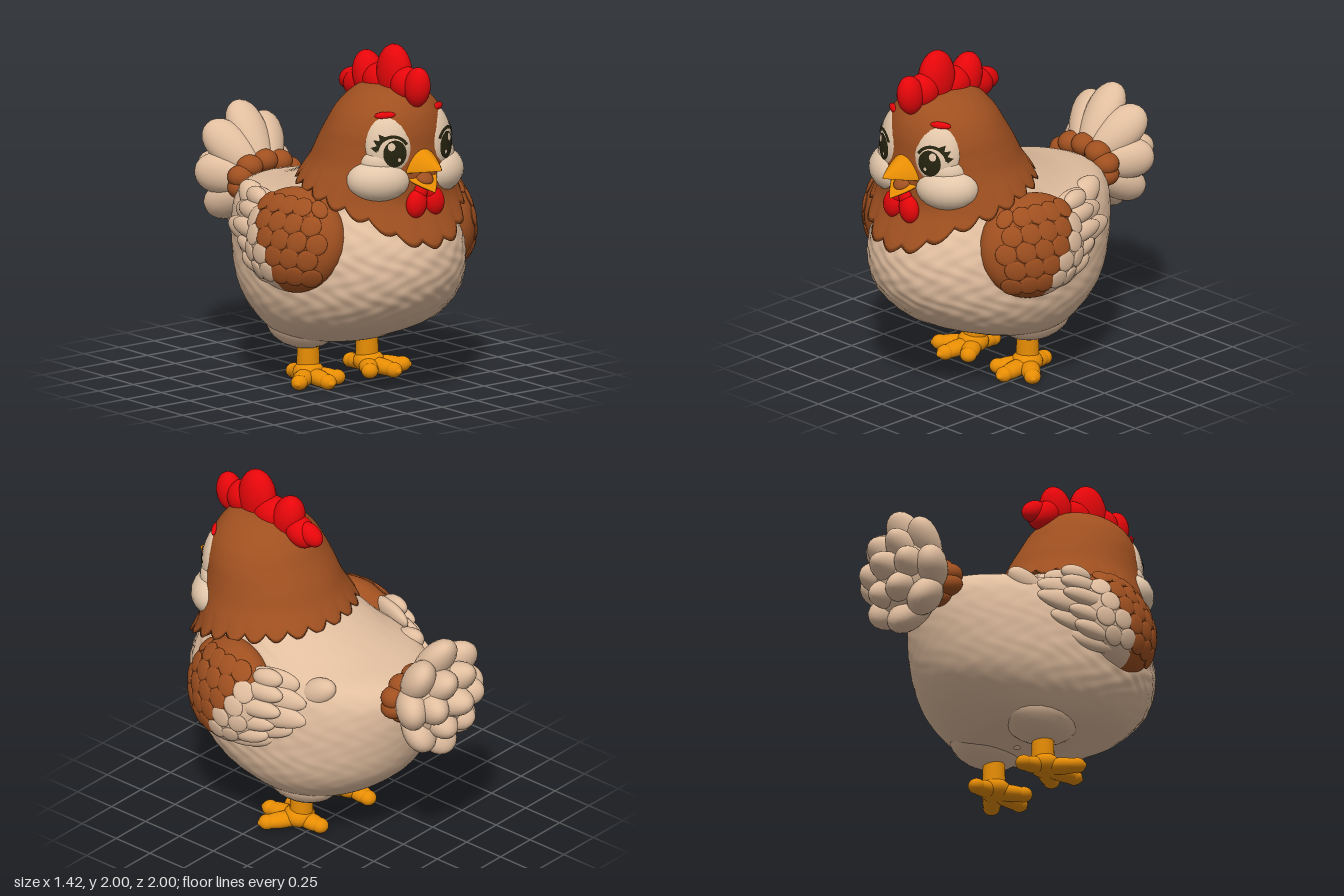
import * as THREE from 'three';

const mat = (name, color) => Object.assign(new THREE.MeshStandardMaterial({ color }), { name });
const cream = mat('cream feathers', 0xe1be9f);
const pale = mat('pale face', 0xe4c8ab);
const brown = mat('brown feathers', 0xa05020);
const red = mat('red comb', 0xe8060a);
const orange = mat('orange beak', 0xe98e04);
const dark = mat('dark eye', 0x262410);
brown.side = THREE.DoubleSide;

const V = (x, y, z) => new THREE.Vector3(x, y, z);
const ball = new THREE.SphereGeometry(1, 22, 14);
// ball swollen towards its +y end, for blunt feathers
const plume = ball.clone();
for (let p = plume.attributes.position, i = 0; i < p.count; i++) {
  const k = 1 + 0.3 * p.getY(i);
  p.setXYZ(i, p.getX(i) * k, p.getY(i), p.getZ(i) * k);
}

function add(parent, name, geo, material) {
  const m = new THREE.Mesh(geo, material);
  m.name = name;
  parent.add(m);
  return m;
}

function blob(parent, name, material, p, r, rot = [0, 0, 0]) {
  const m = add(parent, name, ball, material);
  m.position.set(...p);
  m.scale.set(...r);
  m.rotation.set(...rot);
}

// Flattened plume running from a to b, its thin axis towards n
function feather(parent, name, material, a, b, width, thick, n, geo = ball) {
  const y = b.clone().sub(a), len = y.length();
  y.normalize();
  const x = y.clone().cross(n).normalize(), z = x.clone().cross(y);
  const m = add(parent, name, geo, material);
  m.quaternion.setFromRotationMatrix(new THREE.Matrix4().makeBasis(x, y, z));
  m.position.copy(a).lerp(b, 0.5);
  m.scale.set(width, len / 2, thick);
}

// Smooth interpolation of a table whose first column is the key
function sample(table, k) {
  let i = 0;
  while (i < table.length - 2 && k > table[i + 1][0]) i++;
  const a = table[i], b = table[i + 1], p = table[Math.max(i - 1, 0)], q = table[Math.min(i + 2, table.length - 1)];
  const h = b[0] - a[0], t = Math.min(1, Math.max(0, (k - a[0]) / h));
  return a.slice(1).map((v, j) => {
    const c = j + 1, m0 = (b[c] - p[c]) / (b[0] - p[0]) * h, m1 = (q[c] - a[c]) / (q[0] - a[0]) * h;
    const t2 = t * t, t3 = t2 * t;
    return (2 * t3 - 3 * t2 + 1) * v + (t3 - 2 * t2 + t) * m0 + (3 * t2 - 2 * t3) * b[c] + (t3 - t2) * m1;
  });
}

// Closed rings joined into a skin: fn(row 0..1, angle) gives a point
function loft(rows, cols, fn) {
  const pos = [], idx = [];
  for (let i = 0; i <= rows; i++) for (let j = 0; j < cols; j++) {
    pos.push(...fn(i / rows, j / cols * Math.PI * 2));
    if (i === rows) continue;
    const k = (j + 1) % cols, a = i * cols;
    idx.push(a + j, a + k, a + cols + j, a + k, a + cols + k, a + cols + j);
  }
  const g = new THREE.BufferGeometry();
  g.setAttribute('position', new THREE.Float32BufferAttribute(pos, 3));
  g.setIndex(idx);
  g.computeVertexNormals();
  return g;
}

// height, front z, back z, half width
const BODY = [
  [0.245, 0.08, 0.04, 0.02], [0.26, 0.3, -0.16, 0.24], [0.3, 0.43, -0.27, 0.38], [0.4, 0.67, -0.41, 0.49],
  [0.5, 0.8, -0.5, 0.545], [0.6, 0.88, -0.55, 0.57], [0.7, 0.92, -0.58, 0.575], [0.8, 0.93, -0.6, 0.57],
  [0.9, 0.915, -0.61, 0.55], [1.0, 0.87, -0.6, 0.51], [1.08, 0.81, -0.52, 0.46], [1.13, 0.77, -0.3, 0.43],
  [1.2, 0.7, -0.1, 0.39], [1.3, 0.6, 0.12, 0.3]];
const HOOD = [
  [0.88, 0.94, -0.1, 0.52], [0.95, 0.925, -0.1, 0.52], [1.05, 0.88, -0.07, 0.505], [1.15, 0.84, -0.03, 0.48],
  [1.25, 0.84, 0.0, 0.44], [1.35, 0.84, 0.06, 0.395], [1.45, 0.835, 0.11, 0.365], [1.55, 0.83, 0.17, 0.335],
  [1.65, 0.8, 0.23, 0.28], [1.74, 0.73, 0.32, 0.18], [1.77, 0.65, 0.4, 0.1], [1.785, 0.53, 0.51, 0.01]];
// hem height against the cosine of the angle from the front
const HEM = [[-1, 1.23], [0, 1.17], [0.5, 1.1], [0.79, 1.02], [1, 0.895]];

function ring(table, y, a, grow) {
  const [f, b, w] = sample(table, y);
  return [(w + grow) * Math.sin(a), y, (f + b) / 2 + ((f - b) / 2 + grow) * Math.cos(a)];
}

function buildBody(g) {
  add(g, 'body', loft(90, 160, (t, a) => {
    const y = 0.245 + 1.055 * Math.pow(t, 1.15);
    const fade = Math.min(1, Math.max(0, (y - 0.3) / 0.2)) * (0.6 + 0.4 * Math.cos(a));
    return ring(BODY, y, a, 0.005 * fade * Math.cos(23 * a + Math.sin(y * 31)) * Math.cos(y * 60 + Math.sin(7 * a)));
  }), cream);
  const rows = 48;
  add(g, 'hood', loft(rows, 176, (t, a) => {
    const lobe = Math.abs(Math.cos(11 * a));
    const hem = sample(HEM, Math.cos(a))[0] + 0.04 * (1 - lobe);
    if (t === 0) return ring(HOOD, hem + 0.015, a, -0.06);
    const u = (t * rows - 1) / (rows - 1);
    const y = hem + (1.785 - hem) * (1 - Math.pow(1 - u, 1.5));
    return ring(HOOD, y, a, 0.01 * lobe * Math.max(0, 1 - u * 6));
  }), brown);
}

function buildFace(g) {
  // beak
  add(g, 'upperBeak', loft(18, 32, (t, a) => {
    const c = Math.cos(a), n = Math.sin(a), w = 0.13 * (1 - Math.pow(t, 1.5));
    const arch = c > 0 ? 0.115 * Math.pow(c, 1.4) : 0.02 * c;
    const y = 1.35 - 0.035 * n * n * (1 - t) + arch * (1 - Math.pow(t, 1.5));
    return [-w * n, y, 0.77 + 0.228 * t];
  }), orange);
  add(g, 'lowerBeak', loft(12, 24, (t, a) => {
    const n = Math.sin(a);
    return [-0.12 * (1 - t ** 1.6) * n, 1.3 - 0.085 * t + 0.02 * n * n * (1 - t) + 0.026 * (1 - t * t) * Math.cos(a), 0.77 + 0.17 * t];
  }), orange);
  blob(g, 'mouth', brown, [0, 1.285, 0.835], [0.055, 0.03, 0.06], [0.5, 0, 0]);

  for (const s of [1, -1]) {
    blob(g, 'wattle', red, [s * 0.062, 1.145, 0.85], [0.064, 0.082, 0.05], [0, 0, s * 0.2]);
    blob(g, 'wattleTop', red, [s * 0.035, 1.205, 0.85], [0.042, 0.06, 0.035], [0, 0, s * 0.3]);
    blob(g, 'cheek', pale, [s * 0.21, 1.275, 0.695], [0.185, 0.13, 0.142], [0, s * 0.5, 0]);
    blob(g, 'cheekBridge', pale, [s * 0.2, 1.375, 0.70], [0.125, 0.1, 0.095], [-0.05, s * 0.52, 0]);

    // eye patch with thin eye pieces laid on its surface
    const eye = new THREE.Group(), R = [0.138, 0.182, 0.08];
    eye.name = 'eye';
    eye.position.set(s * 0.17, 1.472, 0.73);
    eye.rotation.set(-0.12, s * 0.55, 0, 'YXZ');
    g.add(eye);
    blob(eye, 'eyePatch', pale, [0, 0, 0], R);
    const decal = (name, geo, material, x, y, sx, sy, lift) => {
      const p = geo.attributes.position;
      for (let i = 0; i < p.count; i++) {
        const u = x + p.getX(i) * sx, v = y + p.getY(i) * sy;
        const d = Math.max(0, 1 - (u / R[0]) ** 2 - (v / R[1]) ** 2);
        p.setXYZ(i, u * s, v, R[2] * Math.sqrt(d) + lift);
      }
      if (s < 0) geo.index.array.reverse();
      geo.computeVertexNormals();
      add(eye, name, geo, material);
    };
    const disc = () => new THREE.RingGeometry(0.001, 1, 28, 6);
    decal('iris', disc(), dark, -0.03, -0.04, 0.067, 0.076, 0.004);
    decal('eyeGlint', disc(), pale, -0.01, 0.0, 0.021, 0.023, 0.007);
    decal('eyeGlintSmall', disc(), pale, -0.055, -0.075, 0.009, 0.011, 0.007);
    decal('upperLashLine', new THREE.RingGeometry(0.82, 1, 28, 2, 0.15, 2.5), dark, -0.018, -0.035, 0.1, 0.1, 0.005);
    for (const a of [0.2, 0.55, 0.9]) {
      const c = Math.cos(a), d = Math.sin(a);
      decal('lash', new THREE.RingGeometry(0.001, 0.024, 3, 2, a), dark, -0.018 + 0.102 * c, -0.03 + 0.105 * d, 1, 1, 0.006);
    }
    feather(g, 'eyebrow', red, V(s * 0.14, 1.65, 0.76), V(s * 0.24, 1.645, 0.695), 0.02, 0.016, V(s * 0.5, 0.4, 0.8));
  }

  // comb: z, y, half thickness, half height, half length, tilt
  const lobes = [[0.78, 1.79, 0.07, 0.115, 0.08, 0.15], [0.68, 1.79, 0.085, 0.1, 0.1, 0.1], [0.575, 1.83, 0.088, 0.17, 0.12, 0],
    [0.46, 1.77, 0.095, 0.1, 0.13, 0], [0.345, 1.785, 0.088, 0.14, 0.095, -0.25], [0.26, 1.73, 0.08, 0.08, 0.11, -0.6],
    [0.185, 1.735, 0.055, 0.06, 0.085, -0.5]];
  for (const [z, y, rx, ry, rz, tilt] of lobes) blob(g, 'combLobe', red, [0, y, z], [rx, ry, rz], [tilt, 0, 0]);
}

function buildWing(g, s) {
  const wing = new THREE.Group(), R = [0.172, 0.295, 0.32];
  wing.name = 'wing';
  wing.position.set(s * 0.505, 0.91, 0.33);
  wing.rotation.set(0, -0.25 * s, 0.2 * s);
  g.add(wing);

  // shoulder, brown in front and cream behind a slanted line
  const isCream = (y, z) => z + 0.56 * y < -0.17;
  const shell = new THREE.SphereGeometry(1, 48, 36).scale(...R);
  const p = shell.attributes.position, src = Array.from(shell.index.array), parts = [[], []];
  for (let i = 0; i < src.length; i += 3) {
    const tri = src.slice(i, i + 3);
    const mid = get => tri.reduce((sum, k) => sum + get(k) / 3, 0);
    parts[isCream(mid(k => p.getY(k)), mid(k => p.getZ(k))) ? 1 : 0].push(...tri);
  }
  shell.setIndex(parts.flat());
  shell.addGroup(0, parts[0].length, 0);
  shell.addGroup(parts[0].length, parts[1].length, 1);
  add(wing, 'wingShoulder', shell, [brown, cream]);

  // overlapping feathers on the shoulder
  for (let r = 0; r < 5; r++) for (let k = 0; k < 5; k++) {
    const v = 0.66 - r * 0.33, w = (0.72 - k * 0.34 - (r % 2) * 0.12) * Math.sqrt(1 - v * v * 0.7);
    const d = 1 - v * v - w * w;
    if (d < 0.08) continue;
    const u = Math.sqrt(d), n = V(s * u / R[0], v / R[1], w / R[2]).normalize();
    const c = V(s * u * R[0], v * R[1], w * R[2]);
    const dir = V(0, -0.045, -0.05).projectOnPlane(n);
    feather(wing, 'shoulderFeather', isCream(c.y, c.z - 0.02) ? cream : brown, c.clone().sub(dir), c.clone().add(dir), 0.06, 0.014, n);
  }
  // cream flight feathers: root z, y and tip z, y
  const flight = [[0.3, 0.71, -0.03, 0.745], [0.3, 0.8, -0.14, 0.825], [0.28, 0.9, -0.24, 0.915],
    [0.24, 1.0, -0.21, 1.0], [0.2, 1.07, -0.13, 1.08]];
  flight.forEach(([z0, y0, z1, y1], i) => {
    const x = 0.625 - Math.max(0, i - 2) * 0.035;
    feather(g, 'flightFeather', cream, V(s * x, y0, z0), V(s * (x - 0.1), y1, z1), 0.075, 0.045, V(s, 0.25, -0.2));
    feather(g, 'flightCovert', cream, V(s * (x + 0.005), y0 + 0.03, z0 - 0.08), V(s * (x - 0.03), y1 + 0.035, z1 * 0.4 - 0.01), 0.055, 0.045, V(s, 0.25, -0.1));
  });
  feather(g, 'backTuft', cream, V(s * 0.39, 0.95, -0.06), V(s * 0.37, 1.1, -0.31), 0.08, 0.07, V(s, 0.3, 0));
}

function buildTail(g) {
  const root = V(0, 1.01, -0.56);
  blob(g, 'tailCore', cream, [0, 1.05, -0.74], [0.22, 0.25, 0.17]);
  for (let i = 0; i < 10; i++) {
    const a = i / 10 * Math.PI * 2, c = Math.cos(a), d = Math.sin(a);
    blob(g, 'tailBand', brown, [0.18 * d, 1.02 + 0.1 * c, -0.58], [0.075, 0.065, 0.075]);
  }
  for (let i = 0; i < 8; i++) {
    const a = i / 8 * Math.PI * 2, c = Math.cos(a), d = Math.sin(a);
    feather(g, 'outerTailFeather', cream, root.clone().add(V(0.05 * d, 0.03 * c, 0)),
      V(0.29 * d, 1.07 + 0.345 * c, -0.84), 0.11, 0.085, V(d, c, 0.6), plume);
  }
  for (let i = 0; i < 6; i++) {
    const a = (i + 0.5) / 6 * Math.PI * 2, c = Math.cos(a), d = Math.sin(a);
    feather(g, 'innerTailFeather', cream, root, V(0.18 * d, 1.08 + 0.19 * c, -0.94), 0.095, 0.085, V(d, c, 0.4), plume);
  }
  feather(g, 'middleTailFeather', cream, root, V(0, 1.09, -1), 0.095, 0.085, V(0, 1, 0.1), plume);
}

function buildLeg(g, s) {
  blob(g, 'thigh', cream, [s * 0.22, 0.35, 0.04], [0.19, 0.15, 0.24]);
  const shank = add(g, 'shank', new THREE.CylinderGeometry(0.06, 0.068, 0.2, 20), orange);
  shank.position.set(s * 0.21, 0.15, 0.07);
  blob(g, 'ankle', orange, [s * 0.215, 0.065, 0.08], [0.09, 0.065, 0.09]);
  for (const [x, z] of [[0.09, 0.25], [0.24, 0.335], [0.41, 0.22], [0.2, -0.1]]) {
    const tip = V(s * x, 0.04, z), from = V(s * 0.215, 0.055, 0.07);
    feather(g, 'toe', orange, from.clone().lerp(tip, -0.2), tip, 0.055, 0.046, V(0, 1, 0));
    const pad = from.clone().lerp(tip, 0.78);
    blob(g, 'toePad', orange, [pad.x, 0.044, pad.z], [0.048, 0.043, 0.048]);
  }
}

export function createModel() {
  const hen = new THREE.Group();
  hen.name = 'hen';
  buildBody(hen);
  buildFace(hen);
  buildTail(hen);
  for (const s of [1, -1]) {
    buildWing(hen, s);
    buildLeg(hen, s);
  }
  return hen;
}
